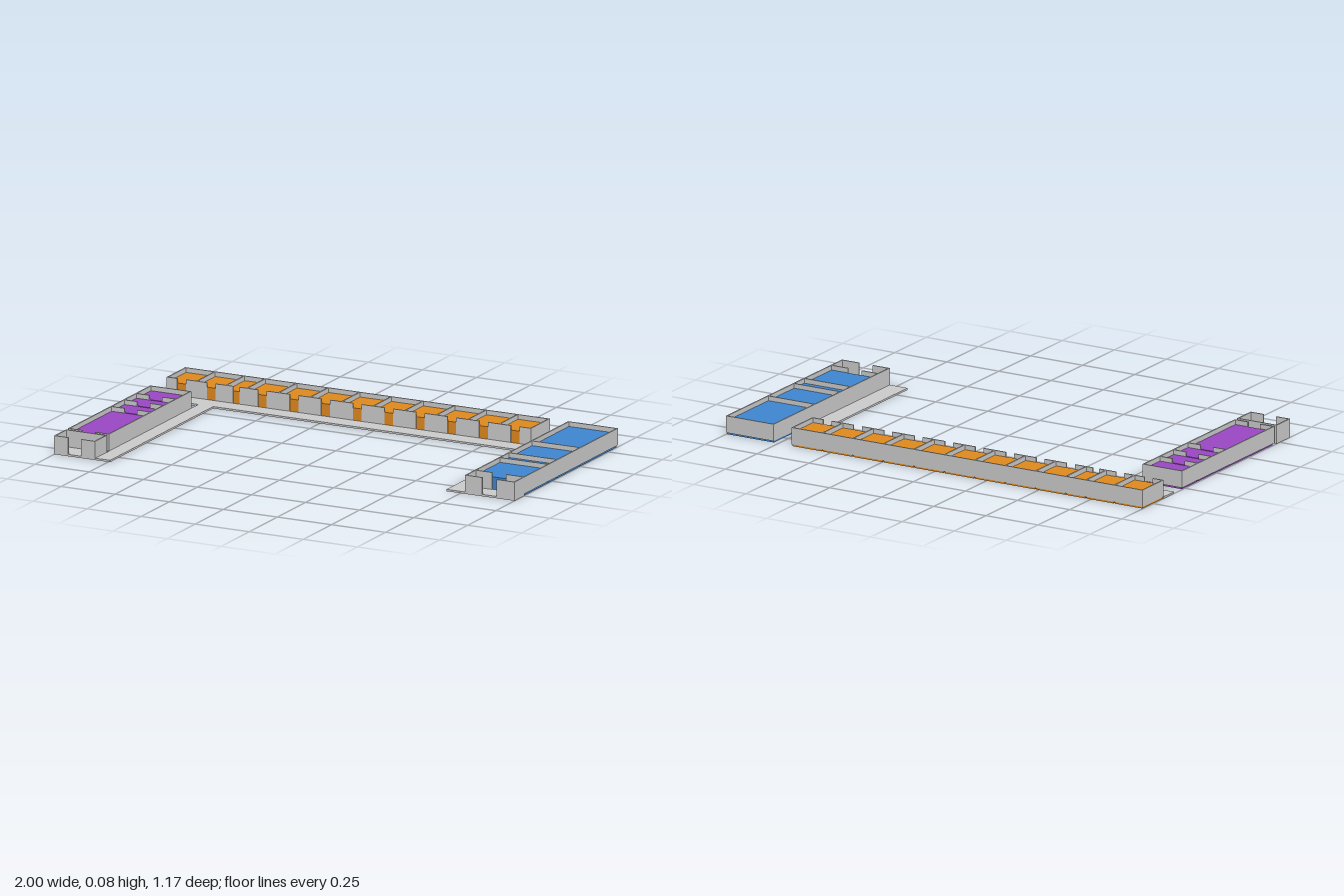
import * as THREE from 'three';

const WALL = 0.006, BASE = 0.008, TOP = 0.08, FILL = 0.06;

export function createModel() {
  const model = new THREE.Group();
  model.name = 'floorPlan';
  const grey = new THREE.MeshStandardMaterial({ color: 0xcccccc });
  const orange = new THREE.MeshStandardMaterial({ color: 0xe08a1e });
  const blue = new THREE.MeshStandardMaterial({ color: 0x3f86d0 });
  const purple = new THREE.MeshStandardMaterial({ color: 0x9a48c4 });

  // Box given by its limits on each axis
  function block(parent, name, x0, x1, y0, y1, z0, z1, material = grey) {
    const mesh = new THREE.Mesh(new THREE.BoxGeometry(x1 - x0, y1 - y0, z1 - z0), material);
    mesh.position.set((x0 + x1) / 2, (y0 + y1) / 2, (z0 + z1) / 2);
    mesh.name = name;
    parent.add(mesh);
  }

  // Wall centred on a line, broken by full-height door gaps [centre, width]
  function wall(parent, name, axis, at, from, to, doors = []) {
    let start = from;
    for (const [c, w] of [...doors, [to, 0]]) {
      const end = c - w / 2;
      const a = at - WALL / 2, b = at + WALL / 2;
      if (axis === 'x') block(parent, name, start, end, BASE, TOP, a, b);
      else block(parent, name, a, b, BASE, TOP, start, end);
      start = c + w / 2;
    }
  }

  function wing(name) {
    const group = new THREE.Group();
    group.name = name;
    model.add(group);
    return group;
  }

  const h = WALL / 2;

  // Corridor slab
  const corridor = wing('corridor');
  block(corridor, 'rearCorridorFloor', -1, 0.77, 0, BASE, -0.418, -0.336);
  block(corridor, 'rightCorridorFloor', -0.81, -0.742, 0, BASE, -0.336, 0.58);
  block(corridor, 'leftCorridorFloor', 0.685, 0.77, 0, BASE, -0.336, 0.333);

  // Rear row of rooms, each with a door to the corridor
  const rear = wing('rearWing');
  const xs = [-1, -0.862, -0.726, -0.63];
  for (let i = 1; i <= 9; i++) xs.push(-0.63 + i * 0.146);
  const rearDoors = [];
  for (let i = 0; i < xs.length - 1; i++) {
    block(rear, 'rearRoom', xs[i] + h, xs[i + 1] - h, 0, FILL, -0.582, -0.421, orange);
    rearDoors.push([(xs[i] + xs[i + 1]) / 2, i === 2 ? 0.03 : 0.04]);
    if (i) wall(rear, 'rearPartition', 'z', xs[i], -0.582, -0.421);
  }
  wall(rear, 'rearOuterWall', 'x', -0.582, -1, 0.685);
  wall(rear, 'rearDoorWall', 'x', -0.421, -1, 0.685, rearDoors);
  for (const x of [-1 + h, 0.685 - h]) wall(rear, 'rearEndWall', 'z', x, -0.582, -0.421);

  // Left wing: four rooms and a front lobby
  const left = wing('leftWing');
  const lz = [-0.582, -0.255, -0.052, 0.03, 0.245];
  for (let i = 0; i < 4; i++) {
    block(left, 'leftRoom', 0.773, 0.997, 0, FILL, lz[i] + h, lz[i + 1] - h, blue);
    if (i) wall(left, 'leftPartition', 'x', lz[i], 0.77, 1);
  }
  block(left, 'leftLobbyFloor', 0.77, 1, 0, BASE, 0.245, 0.333);
  wall(left, 'leftRearWall', 'x', -0.582, 0.77, 1);
  for (const z of [0.245, 0.331]) wall(left, 'leftDoorWall', 'x', z, 0.77, 1, [[0.883, 0.066]]);
  wall(left, 'leftOuterWall', 'z', 1 - h, -0.585, 0.334);
  wall(left, 'leftInnerWall', 'z', 0.77 + h, -0.585, 0.334);

  // Right wing: four rooms joined by doors
  const right = wing('rightWing');
  const rz = [-0.27, -0.142, -0.034, 0.08, 0.455];
  const rightDoor = [[-0.905, 0.06]];
  for (let i = 0; i < 4; i++) {
    block(right, 'rightRoom', -0.995, -0.813, 0, FILL, rz[i] + h, rz[i + 1] - h, purple);
    wall(right, 'rightPartition', 'x', rz[i + 1], -1, -0.81, rightDoor);
  }
  wall(right, 'rightRearWall', 'x', rz[0], -1, -0.81);
  for (const x of [-1 + h, -0.81 - h]) wall(right, 'rightSideWall', 'z', x, -0.273, 0.458);

  // Separate lobby in front of the right wing
  const lobby = wing('rightLobby');
  block(lobby, 'lobbyFloor', -1, -0.81, 0, BASE, 0.475, 0.58);
  wall(lobby, 'lobbyRearWall', 'x', 0.478, -1, -0.81);
  wall(lobby, 'lobbyFrontWall', 'x', 0.579, -1, -0.81, rightDoor);
  for (const x of [-1 + h, -0.81 - h]) wall(lobby, 'lobbySideWall', 'z', x, 0.475, 0.582);

  return model;
}
